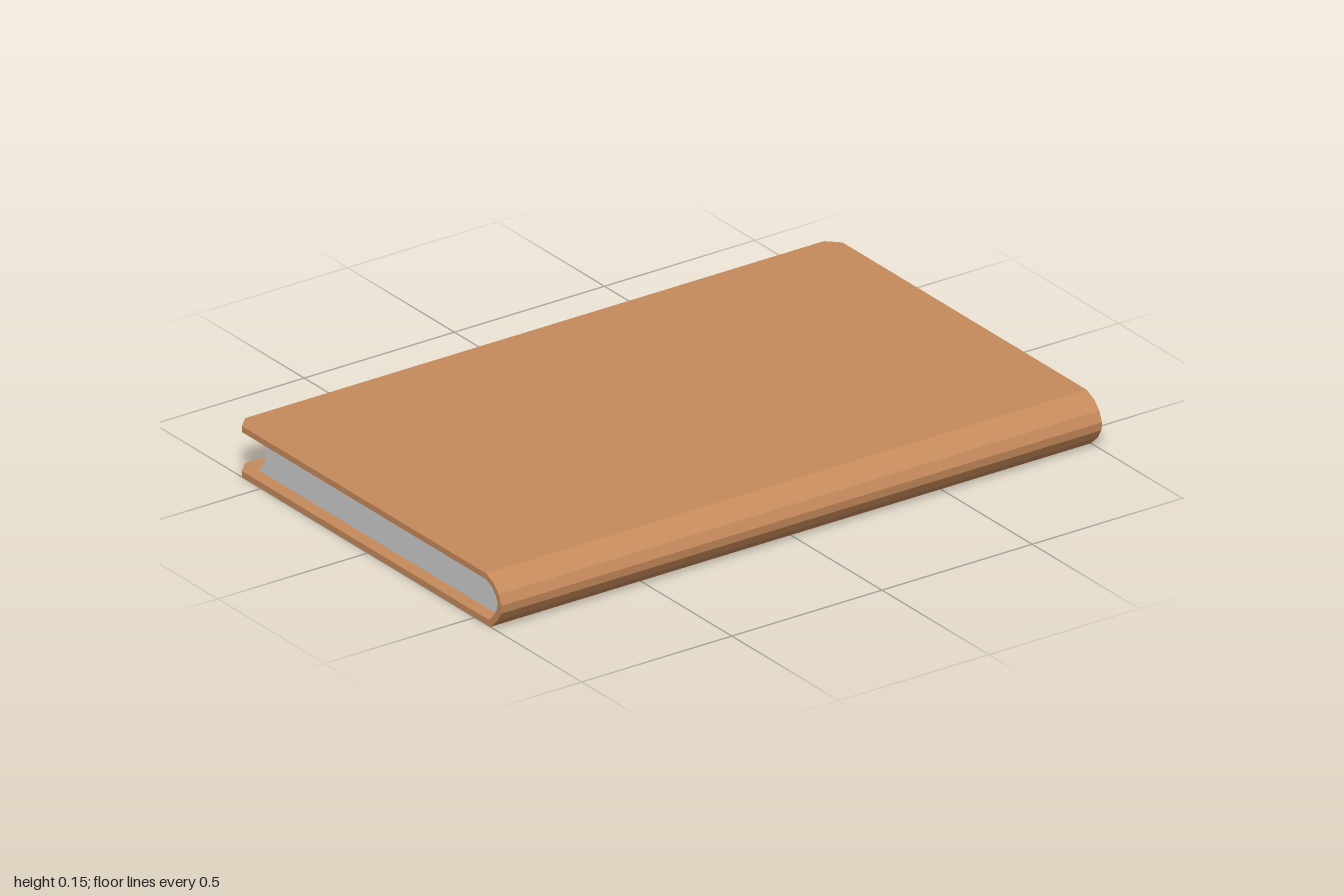
import * as THREE from 'three';

const leather = new THREE.MeshStandardMaterial({ color: 0xc68a5b });
const paper = new THREE.MeshStandardMaterial({ color: 0xcccccc });

// Extrudes a [z, y] profile along x, centred on x = 0
function extrudeAlongX(profile, width) {
  const shape = new THREE.Shape(profile.map(([z, y]) => new THREE.Vector2(-z, y)));
  return new THREE.ExtrudeGeometry(shape, { depth: width, bevelEnabled: false })
    .rotateY(Math.PI / 2)
    .translate(-width / 2, 0, 0);
}

export function createModel() {
  const book = new THREE.Group();
  book.name = 'book';
  const add = (name, geometry, material) => {
    const mesh = new THREE.Mesh(geometry, material);
    mesh.name = name;
    book.add(mesh);
  };

  const height = 0.153, board = 0.018, back = -0.625, hinge = 0.553, cut = 0.036;

  // Cover boards with clipped corners on the opening edge
  const outline = new THREE.Shape([
    [-1, -hinge], [1, -hinge], [1, -back - cut], [1 - cut, -back],
    [-1 + cut, -back], [-1, -back - cut],
  ].map(([x, y]) => new THREE.Vector2(x, y)));
  for (const [name, y] of [['bottomCover', 0], ['topCover', height - board]]) {
    const geometry = new THREE.ExtrudeGeometry(outline, { depth: board, bevelEnabled: false })
      .rotateX(-Math.PI / 2)
      .translate(0, y, 0);
    add(name, geometry, leather);
  }

  // Rounded, faceted spine joining the boards
  const outer = [
    [hinge, height], [0.588, 0.138], [0.612, 0.113], [0.625, 0.083],
    [0.622, 0.058], [0.604, 0.029], [0.573, 0], [hinge, 0],
  ];
  const inner = [
    [hinge, board], [0.566, board], [0.585, 0.037], [0.602, 0.06],
    [0.607, 0.083], [0.599, 0.103], [0.58, 0.124], [hinge, height - board],
  ];
  add('spine', extrudeAlongX([...outer, ...inner], 2), leather);

  // Page block: front follows the spine, back edge is hollowed
  const hollow = [];
  const steps = 8;
  for (let i = 0; i <= steps; i++) {
    const t = i / steps;
    hollow.push([-0.567 + 0.032 * Math.sin(Math.PI * t), height - board + t * (2 * board - height)]);
  }
  add('pages', extrudeAlongX([...inner, ...hollow], 1.92), paper);

  return book;
}
